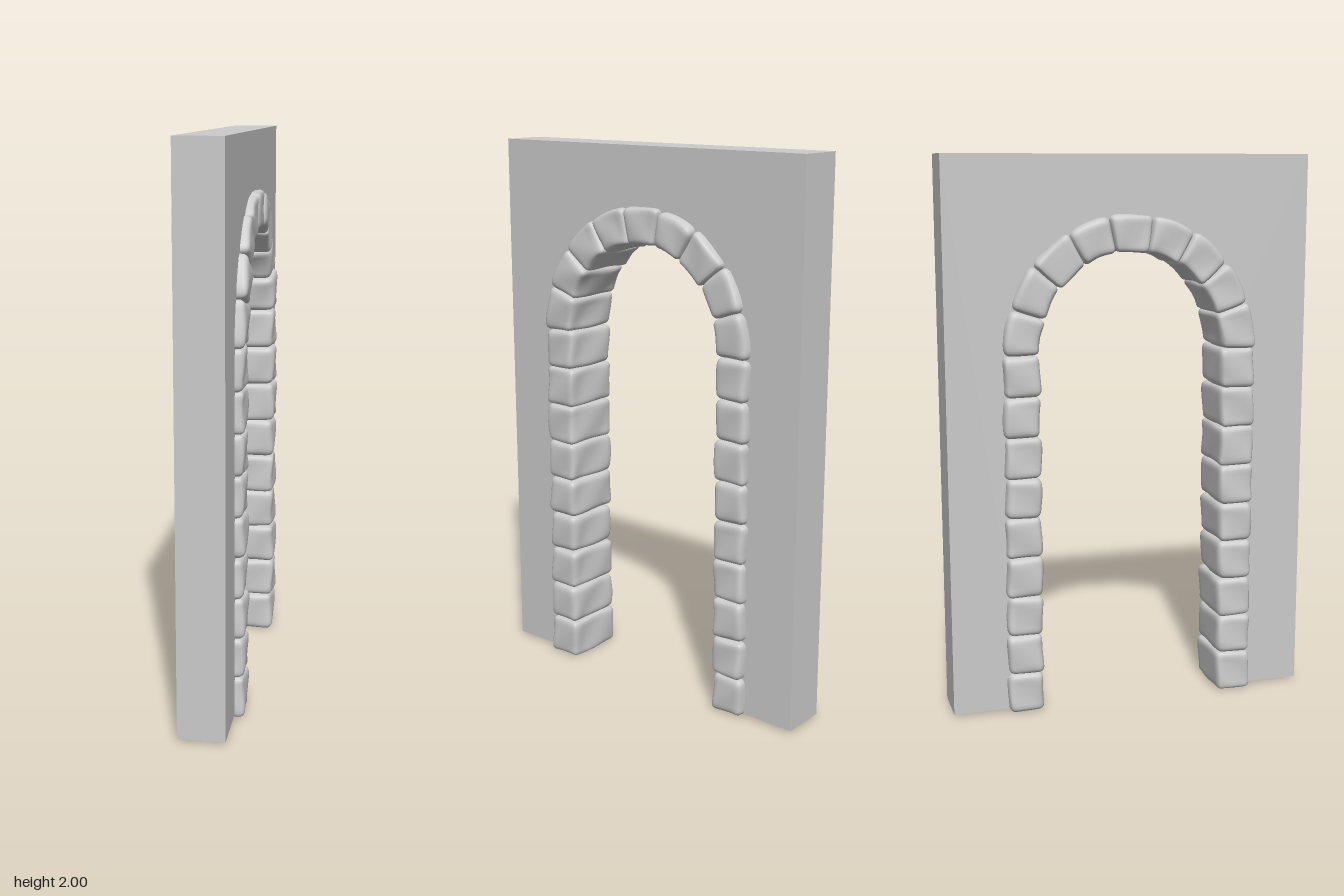
import * as THREE from 'three';
import { mergeVertices } from 'three/addons/utils/BufferGeometryUtils.js';

const material = new THREE.MeshStandardMaterial({ color: 0xcccccc });
const LEG = 9, ARCH = 9, SPRING = 1.31;
const HALF = new THREE.Vector3(0.114, 0.0725, 0.065); // depth, along the arch, radial

// seeded random numbers in -1..1
let seed = 7;
const rand = () => {
  seed = (seed * 16807) % 2147483647;
  return (seed / 2147483647) * 2 - 1;
};

// point on the stone course: t counts stones from one foot to the other, r is the radial offset
function course(t, r) {
  if (t <= LEG) return [t * SPRING / LEG, 0.4 + r];
  if (t >= LEG + ARCH) return [(2 * LEG + ARCH - t) * SPRING / LEG, -0.4 - r];
  const a = (t - LEG) / ARCH * Math.PI;
  return [SPRING + (0.42 + r) * Math.sin(a), (0.4 + r) * Math.cos(a)];
}

// one worn, rounded block bent onto the course
function makeStone(index) {
  let geo = new THREE.BoxGeometry(2, 2, 2, 10, 10, 10);
  geo.deleteAttribute('uv');
  geo.deleteAttribute('normal');
  geo = mergeVertices(geo);
  const radius = 0.022 + 0.004 * rand();
  const size = HALF.clone();
  size.x += 0.003 * rand();
  const core = size.clone().subScalar(radius);
  const shiftX = 0.003 * rand(), shiftR = 0.002 * rand();
  const phase = [rand() * 3, rand() * 3, rand() * 3];
  const pos = geo.attributes.position;
  const p = new THREE.Vector3(), c = new THREE.Vector3();
  const spread = (v) => Math.sign(v) * Math.pow(Math.abs(v), 0.6); // finer grid near the edges
  for (let i = 0; i < pos.count; i++) {
    p.fromBufferAttribute(pos, i);
    p.set(spread(p.x), spread(p.y), spread(p.z)).multiply(size);
    c.copy(p).clamp(core.clone().negate(), core);
    p.sub(c).setLength(radius).add(c);
    // gentle dents and bulges
    const wx = 0.003 * Math.sin(38 * p.y + 30 * p.z + phase[0]);
    const wz = 0.003 * Math.sin(32 * p.x + 28 * p.y + phase[1]);
    const wy = 0.0015 * Math.sin(26 * p.x + 30 * p.z + phase[2]);
    const [y, z] = course(index + 0.5 + (p.y + wy) / (2 * HALF.y), p.z + wz + shiftR);
    pos.setXYZ(i, p.x + wx + shiftX, Math.max(y, 0), z);
  }
  geo.computeVertexNormals();
  const mesh = new THREE.Mesh(geo, material);
  mesh.name = index < LEG || index >= LEG + ARCH ? 'jambStone'
    : index === LEG + 4 ? 'keystone' : 'archStone';
  return mesh;
}

// wall slab with the arched doorway cut out
function makeWall() {
  const shape = new THREE.Shape();
  shape.moveTo(-0.665, 0.01);
  shape.lineTo(-0.4, 0.01);
  shape.lineTo(-0.4, SPRING);
  shape.absellipse(0, SPRING, 0.4, 0.42, Math.PI, 0, true);
  shape.lineTo(0.4, 0.01);
  shape.lineTo(0.665, 0.01);
  shape.lineTo(0.665, 2);
  shape.lineTo(-0.665, 2);
  shape.closePath();
  const geo = new THREE.ExtrudeGeometry(shape, { depth: 0.166, bevelEnabled: false, curveSegments: 32 });
  geo.translate(0, 0, -0.083);
  geo.rotateY(-Math.PI / 2);
  const mesh = new THREE.Mesh(geo, material);
  mesh.name = 'wall';
  return mesh;
}

export function createModel() {
  const model = new THREE.Group();
  model.name = 'stoneArchway';
  model.add(makeWall());
  const surround = new THREE.Group();
  surround.name = 'stoneSurround';
  for (let i = 0; i < 2 * LEG + ARCH; i++) surround.add(makeStone(i));
  model.add(surround);
  return model;
}
